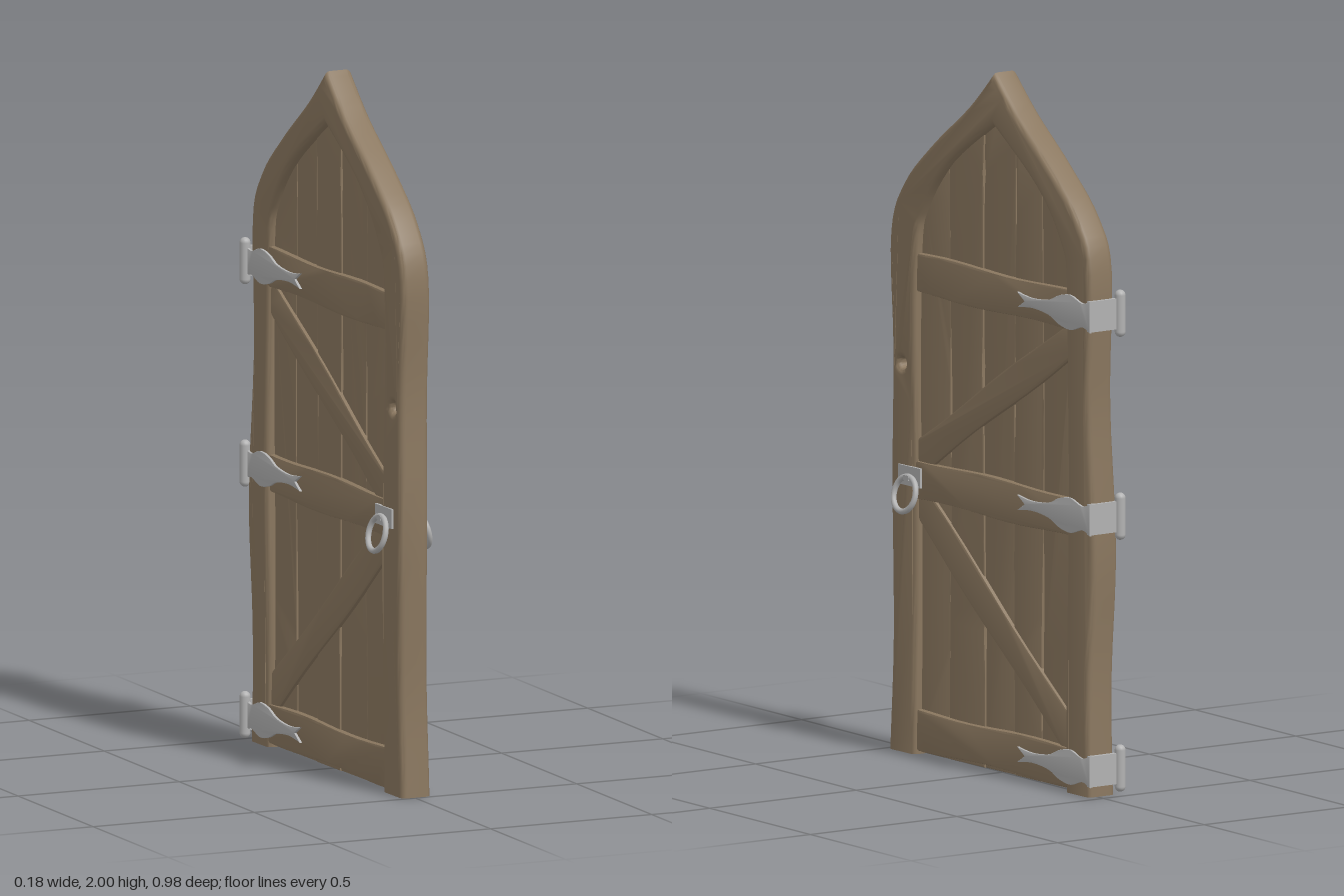
import * as THREE from 'three';
import { toCreasedNormals } from 'three/addons/utils/BufferGeometryUtils.js';

const wood = new THREE.MeshStandardMaterial({ color: 0x8a775f });
wood.name = 'weathered wood';
const iron = new THREE.MeshStandardMaterial({ color: 0xb2b2b2 });
iron.name = 'pale iron';

const FRAME = 0.046; // half thicknesses
const RAIL = 0.038, BRACE = 0.032, PLANK = 0.023;

const v = (z, y) => new THREE.Vector2(z, y);
const curve = (pts, n) => new THREE.SplineCurve(pts.map(p => v(p[0], p[1]))).getPoints(n);

// Bevelled slab from an outline in (z, y), centred on x = 0
function slab(points, half, bevel, holes = []) {
  const shape = new THREE.Shape(points);
  shape.holes.push(...holes);
  const depth = 2 * (half - bevel);
  const geo = new THREE.ExtrudeGeometry(shape, {
    depth, bevelEnabled: bevel > 0, bevelThickness: bevel, bevelSize: bevel,
    bevelOffset: -bevel, bevelSegments: bevel > 0.01 ? 4 : 2, curveSegments: 12,
  });
  geo.translate(0, 0, -depth / 2);
  geo.rotateY(-Math.PI / 2);
  return geo;
}

function mesh(name, geo, mat, parent) {
  const m = new THREE.Mesh(geo, mat);
  m.name = name;
  parent.add(m);
  return m;
}

// Arched frame, open at the bottom, with a small hole through it
function frameGeometry() {
  const outline = [
    ...curve([[0.495, 0], [0.482, 0.3], [0.496, 0.75], [0.483, 1.15], [0.493, 1.48], [0.43, 1.63],
      [0.3, 1.755], [0.13, 1.885], [0.01, 2]], 40),
    ...curve([[0.01, 2], [-0.1, 1.895], [-0.26, 1.77], [-0.4, 1.64], [-0.465, 1.49], [-0.455, 1.1],
      [-0.474, 0.7], [-0.46, 0.35], [-0.47, 0]], 40).slice(1),
    ...curve([[-0.352, 0], [-0.346, 0.5], [-0.353, 1], [-0.35, 1.44], [-0.315, 1.57],
      [-0.2, 1.705], [0.01, 1.85]], 30),
    ...curve([[0.01, 1.85], [0.21, 1.715], [0.33, 1.57], [0.366, 1.44], [0.372, 1],
      [0.365, 0.5], [0.37, 0]], 30).slice(1),
  ];
  const hole = new THREE.Path().absarc(0.435, 1.11, 0.016, 0, Math.PI * 2, true);
  const geo = slab(outline, FRAME, 0.018, [hole]);
  const p = geo.attributes.position;
  for (let i = 0; i < p.count; i++) {
    const y = p.getY(i);
    p.setX(i, p.getX(i) * (1 - 0.05 * y * y / 4) + 0.004 * Math.sin(y * 5 + 1.2));
    if (y < 0.022) p.setY(i, 0); // flat feet
  }
  return toCreasedNormals(geo, 0.6);
}

// Height of the hidden plank tops, inside the arch of the frame
function archTop(z) {
  const pts = [[0, 1.92], [0.12, 1.83], [0.24, 1.74], [0.32, 1.66], [0.42, 1.52]];
  const d = Math.abs(z - 0.01);
  for (let i = 1; i < pts.length; i++) {
    const [a, ya] = pts[i - 1], [b, yb] = pts[i];
    if (d <= b) return ya + (yb - ya) * (d - a) / (b - a);
  }
  return 1.5;
}

// Joints between planks, each with the heights where the boards have shrunk apart
const JOINTS = [
  { z: 0.4, gaps: [] },
  { z: 0.232, gaps: [[0.84, 1.26]] },
  { z: 0.07, gaps: [[1.08, 1.22], [1.66, 1.74], [0.33, 0.42]] },
  { z: -0.078, gaps: [[0.92, 1.23], [1.54, 1.78]] },
  { z: -0.212, gaps: [[0.12, 0.71]] },
  { z: -0.39, gaps: [] },
];

function jointEdge(k, y, side) {
  const { z, gaps } = JOINTS[k];
  let g = 0;
  for (const [a, b] of gaps)
    if (y > a && y < b) g = 0.0045 * Math.sin(Math.PI * (y - a) / (b - a));
  return z + 0.005 * Math.sin(y * 3 + k * 2) + side * g;
}

function plankGeometry(k) {
  const N = 44, left = [], right = [], top = [];
  const topL = archTop(JOINTS[k].z), topR = archTop(JOINTS[k + 1].z);
  for (let i = 0; i <= N; i++) {
    const yl = 0.004 + (topL - 0.004) * i / N, yr = 0.004 + (topR - 0.004) * i / N;
    left.push(v(jointEdge(k, yl, -1), yl));
    right.push(v(jointEdge(k + 1, yr, 1), yr));
  }
  for (let i = 1; i < 6; i++) {
    const z = THREE.MathUtils.lerp(left[N].x, right[N].x, i / 6);
    top.push(v(z, archTop(z)));
  }
  const geo = slab([...left, ...top, ...right.reverse()], PLANK, 0.004);
  geo.translate(0.002 * Math.sin(k * 2.3), 0, 0);
  return toCreasedNormals(geo, 0.5);
}

// Slightly wavy timber between two points of the door plane
function timberGeometry(a, b, width, half, seed) {
  const along = v(b[0] - a[0], b[1] - a[1]), n = v(-along.y, along.x).normalize();
  const up = [], down = [];
  for (let i = 0; i <= 12; i++) {
    const t = i / 12;
    for (const [list, s] of [[up, 1], [down, -1]]) {
      const w = s * width / 2 + 0.004 * Math.sin(t * 8 + seed + s);
      list.push(v(a[0] + along.x * t + n.x * w, a[1] + along.y * t + n.y * w));
    }
  }
  return toCreasedNormals(slab([...up, ...down.reverse()], half, 0.007), 0.6);
}

// Strap hinge: a fishtailed plate on each face, joined round the edge, with a barrel
function hinge(y) {
  const g = new THREE.Group();
  g.name = 'hinge';
  g.position.y = y;
  const half = [[-0.13, 0.022], [-0.2, 0.014], [-0.28, 0.022], [-0.33, 0.042],
    [-0.385, 0.05], [-0.44, 0.034], [-0.478, 0.046]];
  const upper = curve(half, 24);
  const outline = [v(-0.165, 0), ...upper, ...upper.slice().reverse().map(p => v(p.x, -p.y))];
  for (const s of [1, -1])
    mesh('hingeStrap', toCreasedNormals(slab(outline, 0.004, 0.0015), 0.6), iron, g).position.x = s * 0.05;
  mesh('hingeWrap', new THREE.BoxGeometry(0.104, 0.088, 0.014), iron, g).position.z = -0.471;
  mesh('hingeBarrel', new THREE.CapsuleGeometry(0.0155, 0.104, 6, 16), iron, g).position.set(-0.055, 0, -0.474);
  return g;
}

// Pull ring hanging from a plate; s is the face it sits on
function pull(s) {
  const g = new THREE.Group();
  g.name = 'ringPull';
  mesh('pullPlate', new THREE.BoxGeometry(0.008, 0.056, 0.104), iron, g).position.set(s * 0.047, 0.793, 0.392);
  mesh('pullStaple', new THREE.BoxGeometry(0.022, 0.014, 0.024), iron, g).position.set(s * 0.054, 0.79, 0.388);
  const pivot = new THREE.Group();
  pivot.name = 'ringPivot';
  pivot.position.set(s * 0.057, 0.79, 0.388);
  pivot.rotation.z = s * 0.25;
  const ring = new THREE.TorusGeometry(0.05, 0.0085, 10, 36);
  ring.rotateY(Math.PI / 2);
  mesh('ring', ring, iron, pivot).position.y = -0.047;
  g.add(pivot);
  return g;
}

export function createModel() {
  const root = new THREE.Group();
  root.name = 'archedDoor';
  const door = new THREE.Group();
  door.name = 'doorLeaf';
  door.position.x = -0.009;
  door.rotation.y = 0.025; // leaf stands slightly ajar
  root.add(door);

  mesh('frame', frameGeometry(), wood, door);
  for (let k = 0; k < JOINTS.length - 1; k++) mesh('plank', plankGeometry(k), wood, door);

  // Rails and diagonal braces
  [0.069, 0.785, 1.375].forEach((y, i) =>
    mesh('rail', timberGeometry([0.39, y], [-0.37, y], 0.113, RAIL, i * 2), wood, door));
  mesh('upperBrace', timberGeometry([0.38, 0.845], [-0.37, 1.3], 0.095, BRACE, 1), wood, door);
  mesh('lowerBrace', timberGeometry([0.38, 0.735], [-0.37, 0.135], 0.1, BRACE, 4), wood, door);

  for (const y of [0.075, 0.795, 1.375]) door.add(hinge(y));
  for (const s of [1, -1]) door.add(pull(s));
  return root;
}
